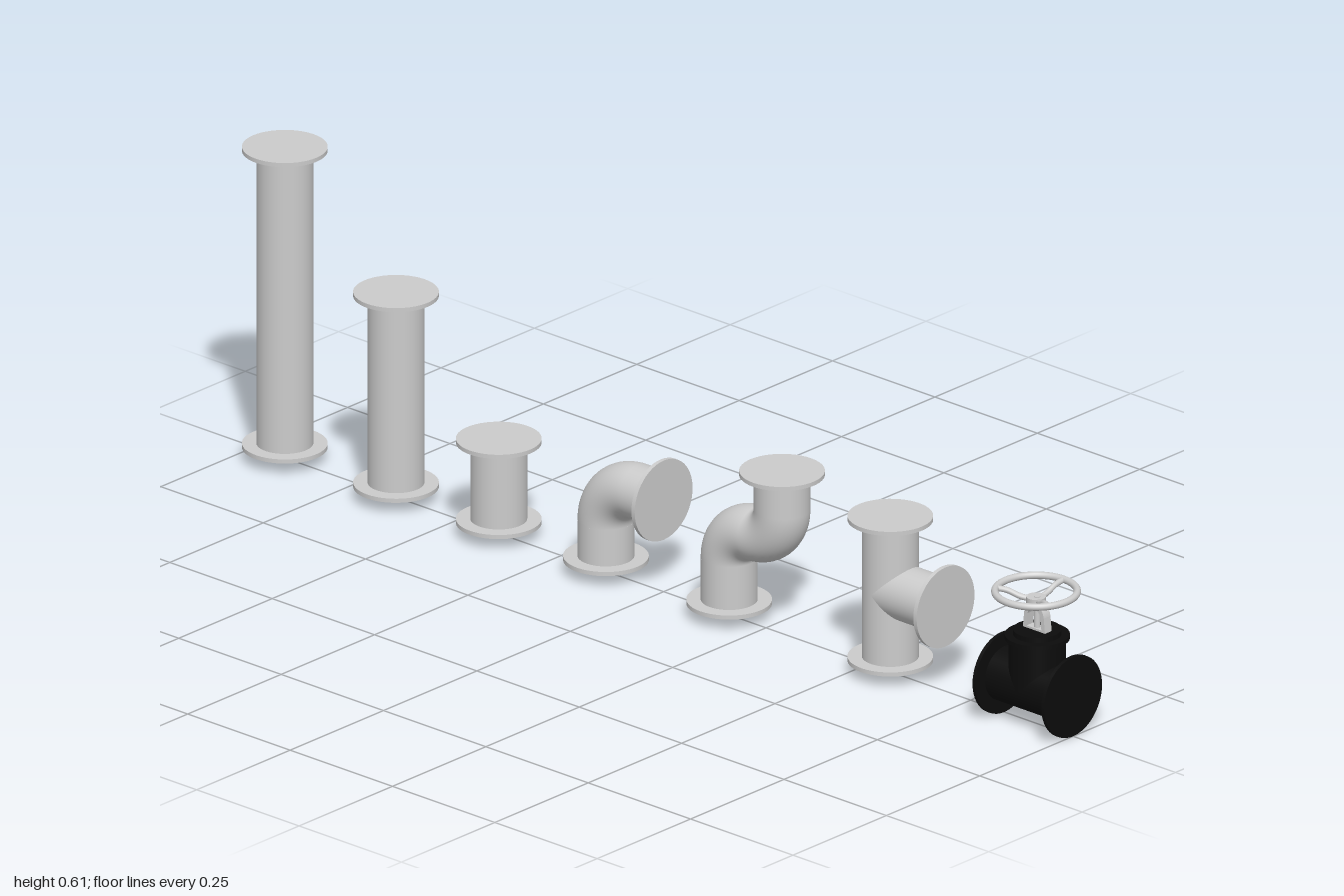
import * as THREE from 'three';

const PIPE_R = 0.0515, FLANGE_R = 0.0775, FLANGE_T = 0.008, BASE = 0.023;

export function createModel() {
  const model = new THREE.Group();
  const grey = new THREE.MeshStandardMaterial({ color: 0xcccccc });
  const black = new THREE.MeshStandardMaterial({ color: 0x0c0c0c });

  function part(parent, name, geometry, x, y, z = 0, material = grey) {
    const mesh = new THREE.Mesh(geometry, material);
    mesh.name = name;
    mesh.position.set(x, y, z);
    parent.add(mesh);
    return mesh;
  }
  function group(name, x, z = 0) {
    const g = new THREE.Group();
    g.name = name;
    g.position.set(x, 0, z);
    model.add(g);
    return g;
  }
  // Upright cylinder from y0 to y1
  function upright(parent, name, r, x, y0, y1, material = grey) {
    return part(parent, name, new THREE.CylinderGeometry(r, r, y1 - y0, 48), x, (y0 + y1) / 2, 0, material);
  }
  // Cylinder lying along x from x0 to x1
  function level(parent, name, r, y, x0, x1, material = grey) {
    const mesh = part(parent, name, new THREE.CylinderGeometry(r, r, x1 - x0, 48), (x0 + x1) / 2, y, 0, material);
    mesh.rotation.z = Math.PI / 2;
    return mesh;
  }
  const flangeUp = (g, name, x, y) => upright(g, name, FLANGE_R, x, y, y + FLANGE_T);
  // Quarter bend around a centre, starting at the given angle
  function bend(g, name, x, y, radius, start) {
    part(g, name, new THREE.TorusGeometry(radius, PIPE_R, 40, 24, Math.PI / 2), x, y).rotation.z = start;
  }

  // Straight pipes in three lengths
  [['longPipe', -0.9225, 0.611], ['mediumPipe', -0.651, 0.404], ['shortPipe', -0.4, 0.188]].forEach(([name, x, top]) => {
    const g = group(name, x, 0.003);
    flangeUp(g, 'bottomFlange', 0, BASE);
    upright(g, 'pipe', PIPE_R, 0, BASE + FLANGE_T, top - FLANGE_T);
    flangeUp(g, 'topFlange', 0, top - FLANGE_T);
  });

  // Elbow
  const elbow = group('elbow', -0.141);
  const bendY = 0.179, R = 0.077;
  flangeUp(elbow, 'bottomFlange', 0, BASE);
  upright(elbow, 'lowerPipe', PIPE_R, 0, BASE + FLANGE_T, bendY - R);
  bend(elbow, 'bend', R, bendY - R, R, Math.PI / 2);
  level(elbow, 'sidePipe', PIPE_R, bendY, R, 0.134);
  level(elbow, 'sideFlange', FLANGE_R, bendY, 0.133, 0.141);

  // Offset pipe with two opposite bends
  const offset = group('offsetPipe', 0.16);
  const S = 0.0645;
  flangeUp(offset, 'bottomFlange', 0, BASE);
  upright(offset, 'lowerPipe', PIPE_R, 0, BASE + FLANGE_T, bendY - S);
  bend(offset, 'lowerBend', S, bendY - S, S, Math.PI / 2);
  bend(offset, 'upperBend', S, bendY + S, S, -Math.PI / 2);
  upright(offset, 'upperPipe', PIPE_R, 2 * S, bendY + S, 0.311);
  flangeUp(offset, 'topFlange', 2 * S, 0.311);

  // Tee
  const tee = group('tee', 0.5535);
  flangeUp(tee, 'bottomFlange', 0, BASE);
  upright(tee, 'mainPipe', PIPE_R, 0, BASE + FLANGE_T, 0.298);
  flangeUp(tee, 'topFlange', 0, 0.298);
  level(tee, 'branchPipe', PIPE_R, 0.165, 0, 0.128);
  level(tee, 'branchFlange', FLANGE_R, 0.165, 0.127, 0.135);

  // Valve body and bonnet
  const valve = group('valve', 0.9125);
  const axis = 0.0775, half = 0.0875;
  level(valve, 'body', PIPE_R, axis, -half, half, black);
  for (const s of [-1, 1]) {
    const a = s * half, b = s * (half - 0.007);
    level(valve, 'bodyFlange', FLANGE_R, axis, Math.min(a, b), Math.max(a, b), black);
  }
  upright(valve, 'bonnet', 0.052, 0, axis, 0.169, black);
  upright(valve, 'bonnetFlange', 0.059, 0, 0.168, 0.176, black);
  upright(valve, 'bonnetCap', 0.044, 0, 0.176, 0.186, black);

  // Yoke: two arms joined by an arch, with the stem between them
  const yoke = new THREE.Shape();
  yoke.moveTo(-0.027, 0);
  yoke.lineTo(0.027, 0);
  yoke.lineTo(0.024, 0.03);
  yoke.quadraticCurveTo(0.021, 0.046, 0.009, 0.05);
  yoke.lineTo(-0.009, 0.05);
  yoke.quadraticCurveTo(-0.021, 0.046, -0.024, 0.03);
  const opening = new THREE.Path();
  opening.moveTo(-0.018, 0.005);
  opening.lineTo(-0.016, 0.029);
  opening.quadraticCurveTo(-0.013, 0.041, 0, 0.041);
  opening.quadraticCurveTo(0.013, 0.041, 0.016, 0.029);
  opening.lineTo(0.018, 0.005);
  yoke.holes.push(opening);
  part(valve, 'yoke', new THREE.ExtrudeGeometry(yoke, { depth: 0.018, bevelEnabled: false }), 0, 0.185, -0.009);
  upright(valve, 'stem', 0.006, 0, 0.185, 0.25);

  // Handwheel with a sunken hub and three rising spokes
  const wheel = new THREE.Group();
  wheel.name = 'handwheel';
  wheel.position.set(-0.003, 0.2585, 0);
  valve.add(wheel);
  const rim = part(wheel, 'rim', new THREE.TorusGeometry(0.0745, 0.0067, 16, 64), 0, 0);
  rim.rotation.x = Math.PI / 2;
  upright(wheel, 'hub', 0.018, 0, -0.022, -0.01);
  for (let i = 0; i < 3; i++) {
    const a = -Math.PI / 2 + i * Math.PI * 2 / 3;
    const at = (r, y) => new THREE.Vector3(r * Math.cos(a), y, r * Math.sin(a));
    const path = new THREE.CatmullRomCurve3([at(0.01, -0.016), at(0.03, -0.012), at(0.052, -0.003), at(0.073, 0)]);
    part(wheel, 'spoke', new THREE.TubeGeometry(path, 16, 0.0055, 12), 0, 0);
  }
  return model;
}
